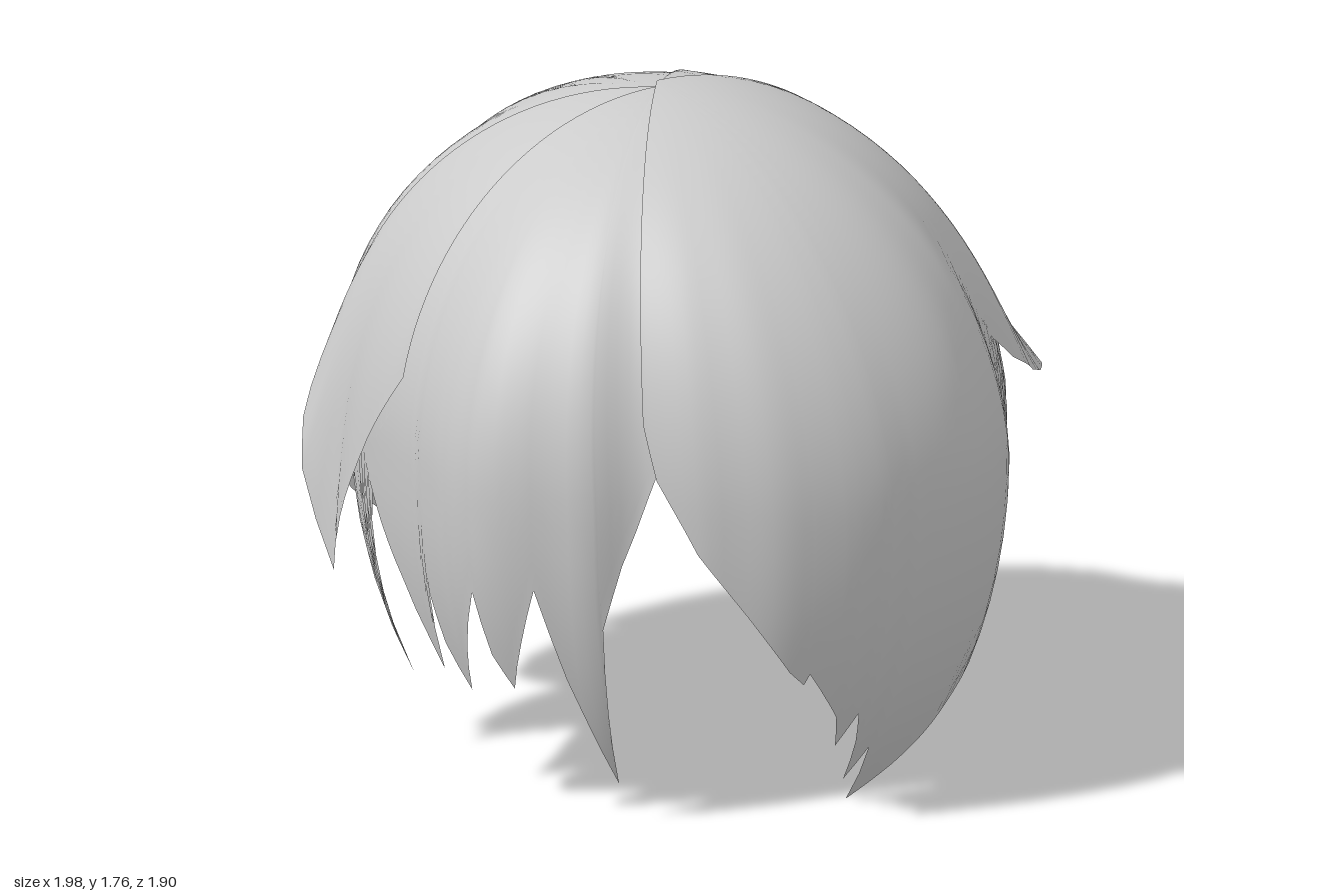
import * as THREE from 'three';

const material = new THREE.MeshStandardMaterial({ color: 0xcccccc, side: THREE.DoubleSide });
const MID = 0.85;      // height of the widest ring
const UP = 0.88;       // crown radius above the ring
const DOWN = 1.15;     // slower taper below the ring
const ROWS = 26;

// Fullness of the hair around the head: [azimuth, radius factor]
const FULLNESS = [
  [-121, 1.05], [-98, 1.0], [-75, 1.01], [-55, 1.08], [-39, 1.01], [-27, 0.925], [-13, 0.96],
  [0, 0.99], [20, 1.01], [39, 1.03], [52, 1.01], [67, 0.95], [90, 1.01], [109, 0.985],
  [123, 1.06], [138, 0.985], [152, 1.04], [168, 1.01], [185, 1.02], [209, 1.05], [225, 0.985],
  [239, 1.05], [262, 1.0], [285, 1.01],
];

function fullness(azimuth) {
  const i = FULLNESS.findIndex(([a]) => a >= azimuth);
  const [a0, f0] = FULLNESS[i - 1];
  const [a1, f1] = FULLNESS[i];
  return f0 + (f1 - f0) * THREE.MathUtils.smoothstep(azimuth, a0, a1);
}

// Point on the hair volume: azimuth in degrees (0 = front, 90 = left), phi from the crown
function hairPoint(azimuth, phi, layer, flare) {
  const a = THREE.MathUtils.degToRad(azimuth);
  const s = Math.sin(phi);
  const c = Math.cos(phi);
  const r = s * layer * flare * (1 + (fullness(azimuth) - 1) * s * s);
  return [
    -0.05 - 0.06 * Math.max(c, 0) + 0.83 * r * Math.sin(a),
    MID + (c > 0 ? UP * layer : DOWN) * c,
    0.93 * r * Math.cos(a) + 0.08 * Math.min(c, 0) ** 2,
  ];
}

function phiAtHeight(y, layer) {
  const c = (y - MID) / (y > MID ? UP * layer : DOWN);
  return Math.acos(THREE.MathUtils.clamp(c, -1, 1));
}

// A sheet of hair from the crown down to a jagged hem of [azimuth, height, flare]
function lockSheet(name, layer, hem) {
  const columns = [];
  hem.forEach(([a, y, f = 1], i) => {
    if (i > 0) {
      const [a0, y0, f0 = 1] = hem[i - 1];
      const steps = Math.max(2, Math.ceil((a - a0) / 2.5));
      for (let k = 1; k < steps; k++) {
        const t = k / steps;
        columns.push([a0 + (a - a0) * t, y0 + (y - y0) * t, f0 + (f - f0) * t]);
      }
    }
    columns.push([a, y, f]);
  });

  const positions = [];
  const index = [];
  columns.forEach(([a, y, f], i) => {
    const end = phiAtHeight(y, layer);
    for (let j = 0; j <= ROWS; j++) {
      const t = j / ROWS;
      positions.push(...hairPoint(a, Math.max(end * t, 0.002), layer, 1 + (f - 1) * t ** 6));
      if (i < columns.length - 1 && j < ROWS) {
        const p = i * (ROWS + 1) + j;
        const q = p + ROWS + 1;
        index.push(p, p + 1, q, q, p + 1, q + 1);
      }
    }
  });
  const geometry = new THREE.BufferGeometry();
  geometry.setAttribute('position', new THREE.Float32BufferAttribute(positions, 3));
  geometry.setIndex(index);
  geometry.computeVertexNormals();
  const mesh = new THREE.Mesh(geometry, material);
  mesh.name = name;
  return mesh;
}

export function createModel() {
  const hair = new THREE.Group();
  hair.name = 'hair';
  hair.add(
    // Large swept fringe over the forehead
    lockSheet('fringe', 1.03, [
      [-26, 1.1], [-24, 0.96], [-17, 0.77], [-8, 0.6], [0, 0.44], [3, 0.4], [4, 0.43], [9, 0.33],
      [11, 0.29], [12.5, 0.2], [16, 0.29], [17.5, 0.2], [18.5, 0.08], [22, 0.17], [24, 0],
      [34, 0.08], [50, 0.23], [63, 0.4], [71, 0.6], [76, 0.8], [80, 1.05],
    ]),
    // Locks on the right side, tucked under the fringe at the parting
    lockSheet('rightLocks', 1.0, [
      [-104, 1.0], [-96, 0.88], [-88, 0.72], [-80, 0.55], [-75, 0.4], [-73, 0.33], [-71, 0.55],
      [-69, 0.42], [-64, 0.31], [-61, 0.45], [-57, 0.62], [-55, 0.45], [-52, 0.36], [-49, 0.5],
      [-46, 0.65], [-42, 0.4], [-35.5, 0.09], [-35, 0.3], [-34.5, 0.55], [-31, 0.72],
      [-26, 0.9], [-22, 1.03], [-10, 1.2],
    ]),
    // Pointed lock in front of the left ear
    lockSheet('leftLock', 1.02, [
      [68, 1.05], [74, 0.85], [77, 0.8], [83, 0.66], [90, 0.54], [92, 0.35], [95, 0.22],
      [103, 0.4], [108, 0.65], [111, 0.95], [116, 1.15],
    ]),
    // Lock behind the left ear, sweeping backwards
    lockSheet('leftRearLock', 1.01, [
      [106, 1.15], [109.5, 0.94], [112, 0.78], [117.5, 0.6], [130, 0.43], [145.5, 0.34],
      [146, 0.7], [147, 1.05],
    ]),
    // Back of the head with its ragged hem
    lockSheet('backLocks', 1.0, [
      [132, 1.1], [140, 0.93], [150, 0.75], [160, 0.58], [172, 0.4], [188, 0.21], [192, 0.42],
      [196, 0.75], [197.5, 0.97], [198.5, 0.5], [200, 0.34], [208, 0.45], [214, 0.6],
      [217, 0.82], [218, 0.5], [219.5, 0.37], [228, 0.46], [238, 0.58], [246, 0.7],
      [254, 0.85], [266, 1.0],
    ]),
    // Slim pointed lock behind the right ear
    lockSheet('rightRearLock', 1.0, [
      [252, 1.2], [255, 1.0], [257, 0.75], [259, 0.45], [261.5, 0.21], [265, 0.42], [269, 0.65],
      [274, 0.9], [280, 1.0],
    ]),
    // Flicked-out points on either side
    lockSheet('leftFlick', 1.03, [
      [70, 1.15], [74, 1.06], [81, 0.97, 1.03], [90, 0.88, 1.1], [96, 0.835, 1.18],
      [100, 0.825, 1.24], [102, 0.97, 1.1], [106, 1.15],
    ]),
    lockSheet('rightFlick', 1.01, [
      [248, 1.15], [252, 1.0, 1.06], [255, 0.86, 1.12], [258, 0.74, 1.145], [262, 0.49, 1.12],
      [267, 0.66, 1.08], [275, 0.9, 1.03], [283, 1.1],
    ]),
  );
  return hair;
}
